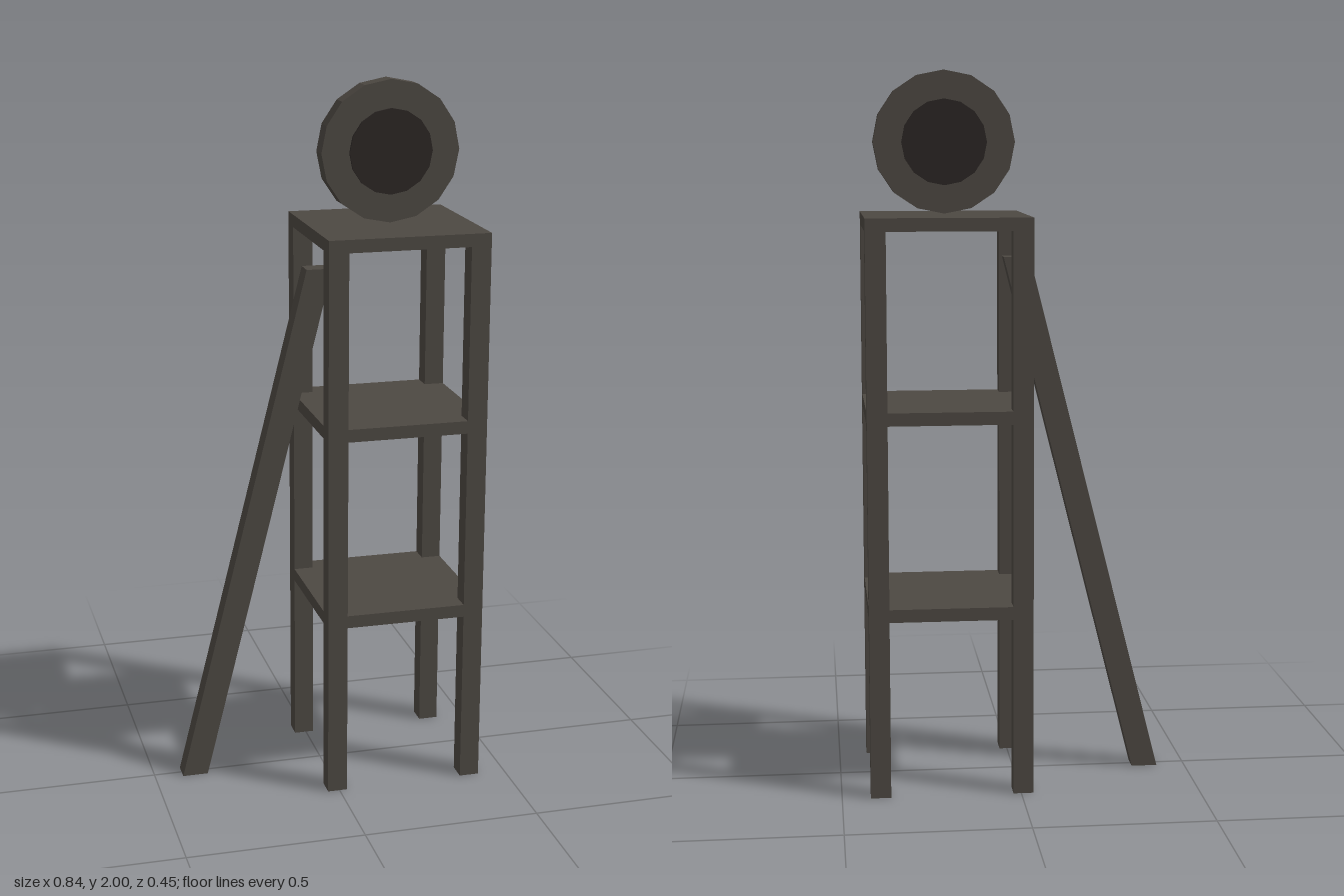
import * as THREE from 'three';

export function createModel() {
  const model = new THREE.Group();
  model.name = 'shelfTower';
  const frameMat = new THREE.MeshStandardMaterial({ color: 0x4d4842, flatShading: true });
  const darkMat = new THREE.MeshStandardMaterial({ color: 0x2b2624, flatShading: true });

  const add = (name, geometry, x, y, z, material = frameMat, parent = model) => {
    const mesh = new THREE.Mesh(geometry, material);
    mesh.name = name;
    mesh.position.set(x, y, z);
    parent.add(mesh);
    return mesh;
  };

  // Tower dimensions
  const cx = 0.193, width = 0.454, leg = 0.056, top = 1.605, board = 0.036;
  const offset = (width - leg) / 2;

  // Four square legs
  for (const sx of [-1, 1]) {
    for (const sz of [-1, 1]) {
      add('leg', new THREE.BoxGeometry(leg, top - board, leg),
        cx + sx * offset, (top - board) / 2, sz * offset);
    }
  }

  // Top board covers the legs
  add('topBoard', new THREE.BoxGeometry(width, board, width), cx, top - board / 2, 0);

  // Shelves fit around the legs, with their edges flush to the frame
  const h = width / 2, i = h - leg;
  const outline = new THREE.Shape([
    [-i, -h], [i, -h], [i, -i], [h, -i], [h, i], [i, i],
    [i, h], [-i, h], [-i, i], [-h, i], [-h, -i], [-i, -i],
  ].map(([x, y]) => new THREE.Vector2(x, y)));
  for (const y of [0.5, 1.045]) {
    const geometry = new THREE.ExtrudeGeometry(outline, { depth: board, bevelEnabled: false });
    geometry.rotateX(-Math.PI / 2);
    add('shelf', geometry, cx, y, 0);
  }

  // Leaning beam: an upright box sheared sideways, so both ends stay level
  const beamHeight = 1.487;
  const beam = new THREE.BoxGeometry(0.073, beamHeight, leg);
  beam.translate(0, beamHeight / 2, 0);
  const pos = beam.attributes.position;
  for (let v = 0; v < pos.count; v++) {
    pos.setX(v, pos.getX(v) + pos.getY(v) * 0.252);
  }
  beam.computeVertexNormals();
  add('leaningBeam', beam, -0.383, 0, 0);

  // Upright disc with a dark hub showing on both faces
  const disc = new THREE.Group();
  disc.name = 'disc';
  disc.position.set(cx, 1.804, 0);
  disc.rotation.x = Math.PI / 2;
  model.add(disc);
  add('discRim', new THREE.CylinderGeometry(0.196, 0.196, leg, 16), 0, 0, 0, frameMat, disc);
  add('discHub', new THREE.CylinderGeometry(0.118, 0.118, 0.068, 16), 0, 0, 0, darkMat, disc);

  return model;
}
